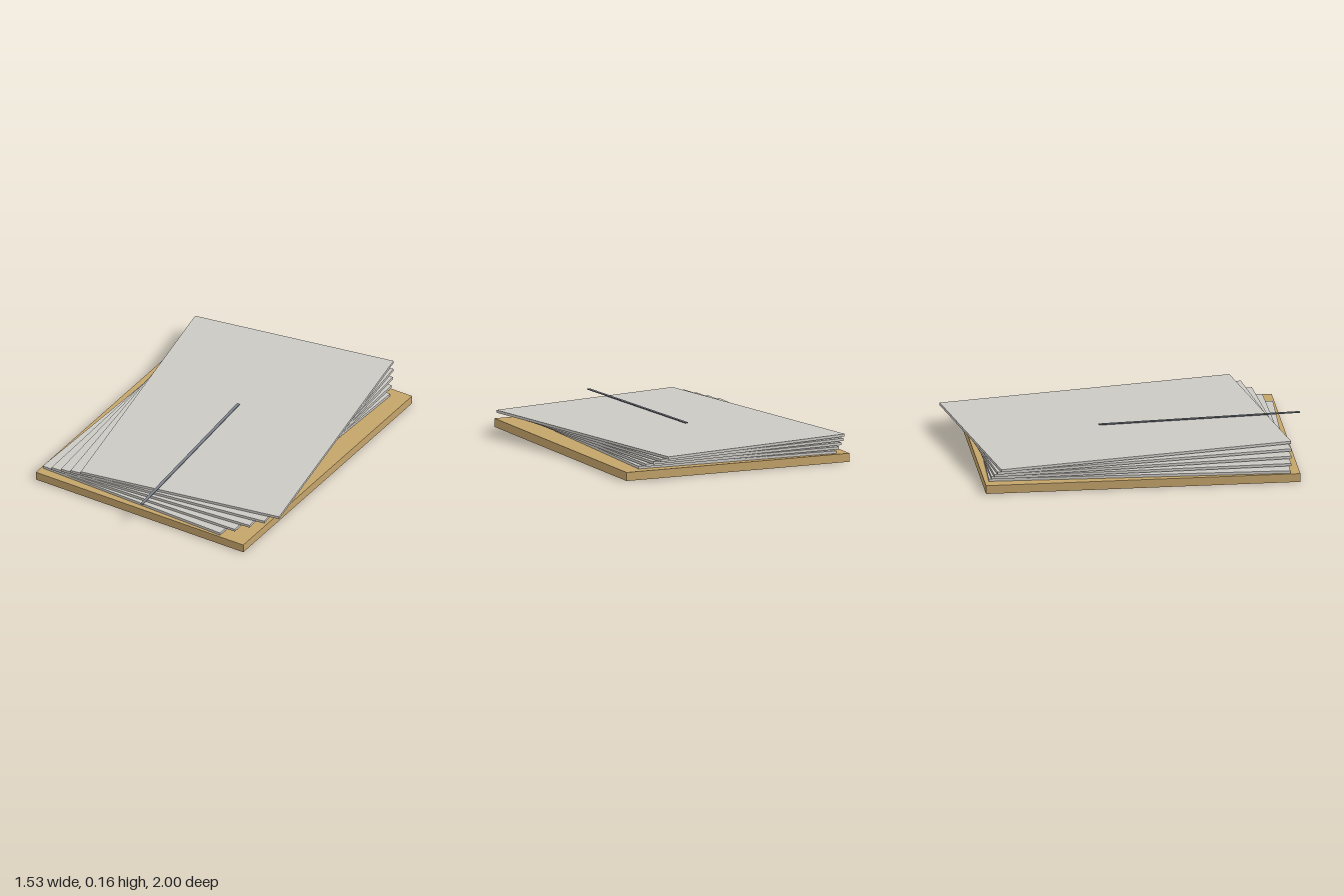
import * as THREE from 'three';

const material = (name, color) => {
  const m = new THREE.MeshStandardMaterial({ color });
  m.name = name;
  return m;
};

// Box whose base sits at the given height, turned about the vertical axis
function slab(name, mat, [w, h, d], [x, base, z], turn = 0) {
  const mesh = new THREE.Mesh(new THREE.BoxGeometry(w, h, d), mat);
  mesh.name = name;
  mesh.position.set(x, base + h / 2, z);
  mesh.rotation.y = turn;
  return mesh;
}

export function createModel() {
  const group = new THREE.Group();
  group.name = 'paperStack';
  const wood = material('tan board', 0xc4a46a);
  const paper = material('grey paper', 0xcbc9c4);
  const metal = material('slate grey', 0x7d828c);

  // Backing board
  group.add(slab('board', wood, [1.41, 0.05, 1.82], [0, 0, 0], -0.07));

  // Five sheets fanned out evenly about the middle one
  for (let i = 0; i < 5; i++) {
    const k = i - 2;
    group.add(slab(`sheet${i + 1}`, paper, [1.232, 0.0155, 1.74],
      [k * 0.024, 0.0505 + i * 0.0203, -0.034 - k * 0.018], k * 0.0525));
  }

  // Thin pen floating just above the top sheet
  group.add(slab('pen', metal, [0.018, 0.005, 1.175], [0, 0.153, 0.4125]));

  return group;
}
